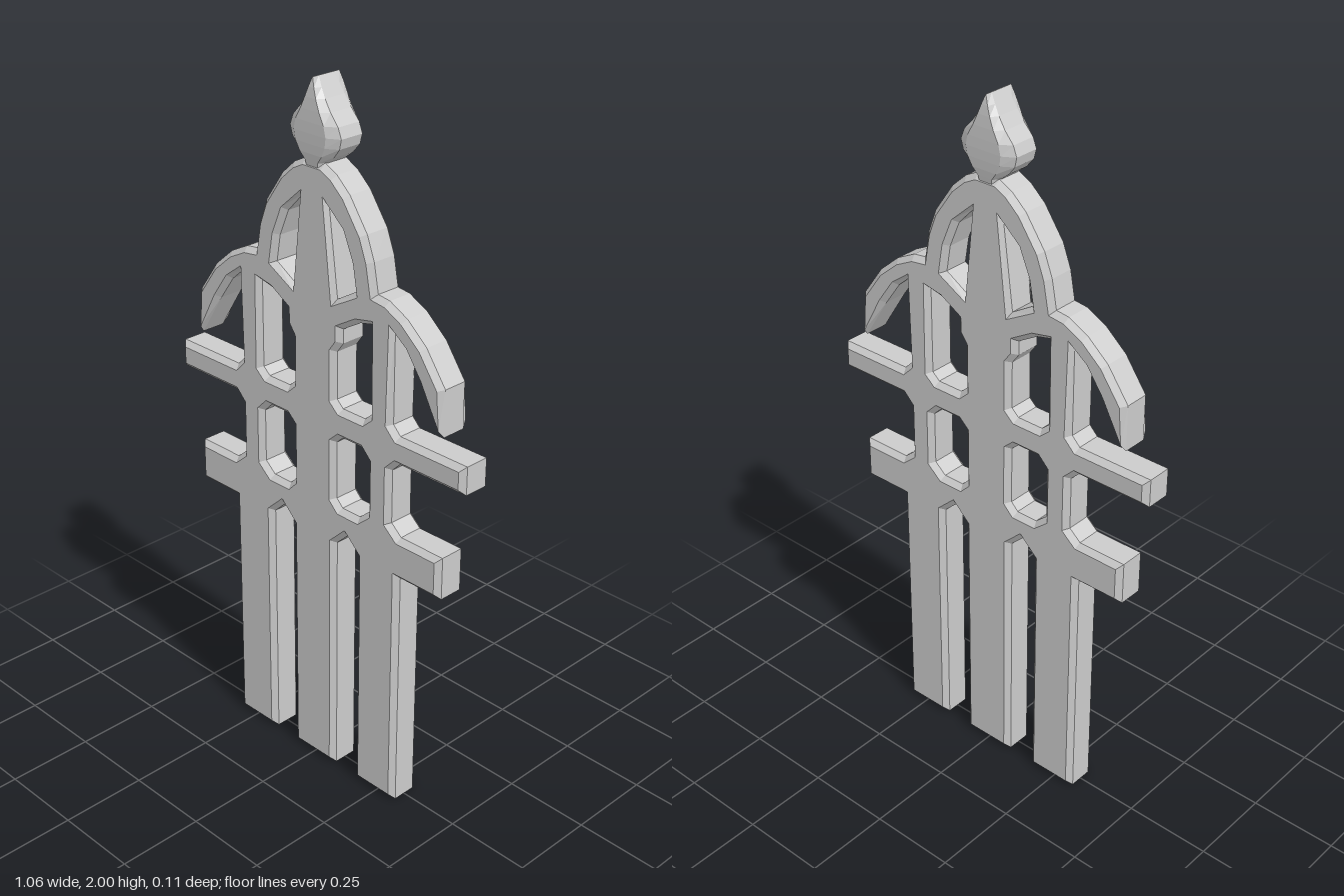
import * as THREE from 'three';

const material = new THREE.MeshStandardMaterial({ color: 0xcccccc, flatShading: true });
const mirror = pts => pts.map(([x, y]) => [-x, y]).reverse();
const vec = pts => pts.map(([x, y]) => new THREE.Vector2(x, y));

// Right half of the tracery outline, from the bottom centre up to the neck
const outline = [
  [0.08, 0], [0.08, 0.735], [0.122, 0.775], [0.165, 0.735], [0.165, 0],   // gap between posts
  [0.315, 0], [0.315, 0.727], [0.46, 0.727], [0.46, 0.85],                // side post, lower arm
  [0.315, 0.85], [0.28, 0.88], [0.28, 1.035], [0.305, 1.06],
  [0.53, 1.06], [0.53, 1.14], [0.305, 1.14], [0.28, 1.165],               // upper arm
  [0.28, 1.42], [0.32, 1.385], [0.37, 1.315], [0.45, 1.19],               // underside of side arch
  [0.45, 1.32], [0.385, 1.41], [0.32, 1.465], [0.26, 1.495], [0.22, 1.5], // top of side arch
  [0.205, 1.58], [0.18, 1.645], [0.12, 1.73], [0.075, 1.77], [0.035, 1.79]// pointed arch
];

// Window openings on the right side
const windows = [
  [[0.1, 0.85], [0.165, 0.85], [0.2, 0.88], [0.2, 1.035], [0.175, 1.06],
    [0.1, 1.06], [0.078, 1.04], [0.078, 0.872]],
  [[0.1, 1.145], [0.18, 1.145], [0.203, 1.165], [0.203, 1.415], [0.16, 1.405],
    [0.1, 1.37], [0.1, 1.33], [0.078, 1.3], [0.078, 1.165]],
  [[0.078, 1.445], [0.145, 1.485], [0.132, 1.56], [0.1, 1.635], [0.047, 1.69]]
];

function createTracery() {
  const shape = new THREE.Shape(vec([...outline, ...mirror(outline)]));
  for (const w of windows) {
    shape.holes.push(new THREE.Path(vec(w)), new THREE.Path(vec(mirror(w))));
  }
  const bevel = 0.015;
  const geometry = new THREE.ExtrudeGeometry(shape, {
    depth: 0.07, bevelEnabled: true, bevelThickness: bevel,
    bevelSize: bevel, bevelOffset: -bevel, bevelSegments: 1
  });
  geometry.translate(0, 0, -0.035);
  const mesh = new THREE.Mesh(geometry, material);
  mesh.name = 'traceryPanel';
  return mesh;
}

// Bulb finial lofted from chamfered sections: [height, half width, half depth]
function createFinial() {
  const rows = [
    [1.765, 0.03, 0.046], [1.79, 0.036, 0.05], [1.81, 0.062, 0.053], [1.835, 0.083, 0.055],
    [1.862, 0.09, 0.056], [1.89, 0.079, 0.056], [1.92, 0.052, 0.055],
    [1.95, 0.031, 0.053], [1.975, 0.016, 0.05], [2, 0.001, 0.045]
  ];
  const pos = [], index = [];
  for (const [y, w, d] of rows) {
    const u = w * 0.62, v = d - 0.02;
    for (const [x, z] of [[w, v], [u, d], [-u, d], [-w, v], [-w, -v], [-u, -d], [u, -d], [w, -v]]) {
      pos.push(x, y, z);
    }
  }
  for (let r = 0; r < rows.length - 1; r++) {
    for (let i = 0; i < 8; i++) {
      const a = r * 8 + i, b = r * 8 + (i + 1) % 8;
      index.push(a, a + 8, b, b, a + 8, b + 8);
    }
  }
  // End caps
  const top = (rows.length - 1) * 8;
  for (let i = 1; i < 7; i++) {
    index.push(0, i, i + 1, top, top + i + 1, top + i);
  }
  const geometry = new THREE.BufferGeometry();
  geometry.setAttribute('position', new THREE.Float32BufferAttribute(pos, 3));
  geometry.setIndex(index);
  geometry.computeVertexNormals();
  const mesh = new THREE.Mesh(geometry, material);
  mesh.name = 'finial';
  return mesh;
}

export function createModel() {
  const group = new THREE.Group();
  group.name = 'gothicTracery';
  group.add(createTracery(), createFinial());
  return group;
}
